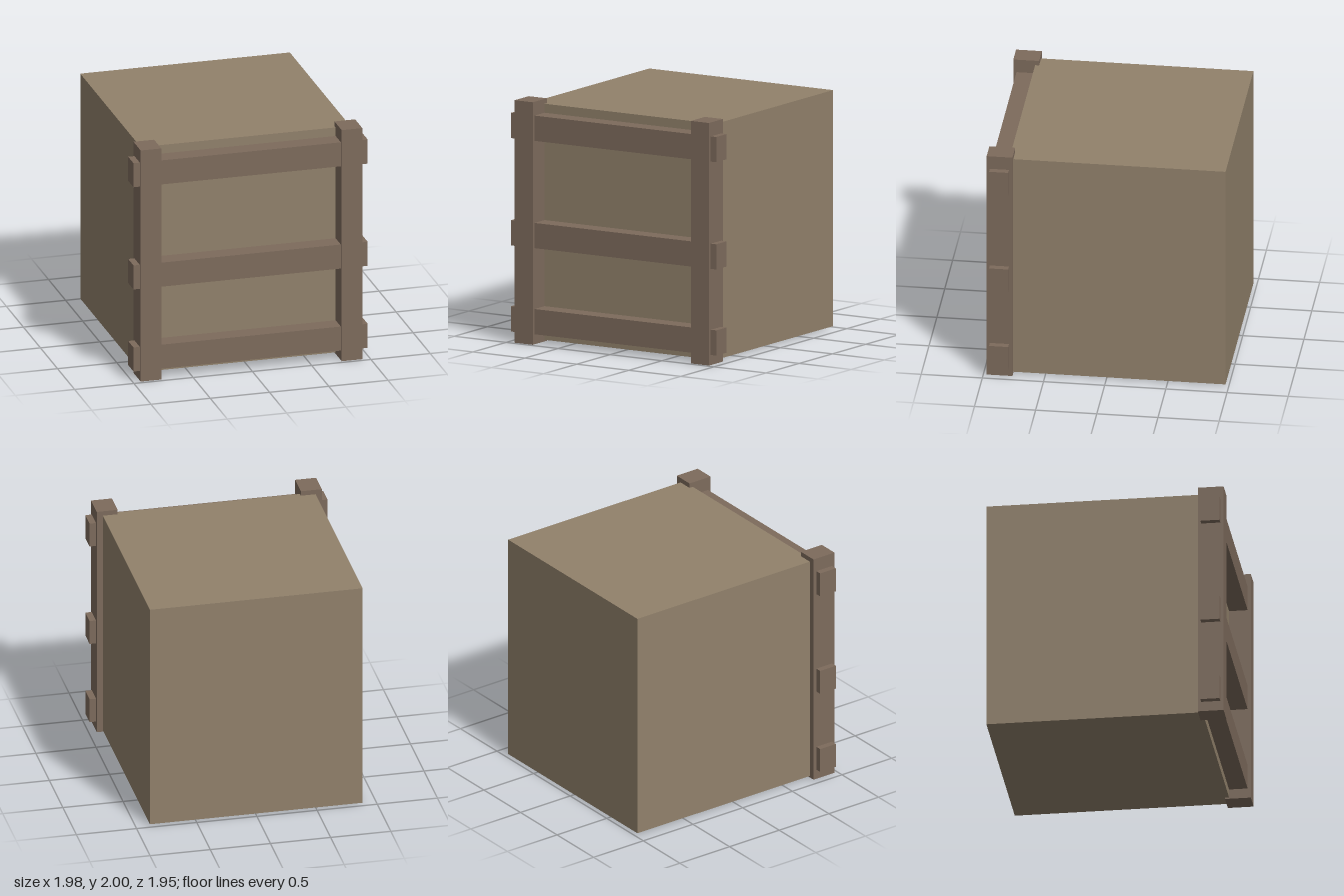
import * as THREE from 'three';

const crateMaterial = new THREE.MeshStandardMaterial({ color: 0x91816b });
const frameMaterial = new THREE.MeshStandardMaterial({ color: 0x7d6b5c });

// Box given by its extents along each axis.
function block(name, material, [x0, x1], [y0, y1], [z0, z1]) {
  const mesh = new THREE.Mesh(new THREE.BoxGeometry(x1 - x0, y1 - y0, z1 - z0), material);
  mesh.position.set((x0 + x1) / 2, (y0 + y1) / 2, (z0 + z1) / 2);
  mesh.name = name;
  return mesh;
}

export function createModel() {
  const model = new THREE.Group();
  model.name = 'crate';

  // Plain crate body
  model.add(block('body', crateMaterial, [-0.884, 0.884], [0.013, 1.96], [-0.973, 0.795]));

  // Front frame: two upright posts crossed by three rails
  const frame = new THREE.Group();
  frame.name = 'frontFrame';
  frame.add(block('leftPost', frameMaterial, [0.761, 0.935], [0, 2], [0.762, 0.973]));
  frame.add(block('rightPost', frameMaterial, [-0.935, -0.761], [0, 2], [0.762, 0.973]));

  const rails = { lowerRail: 0.187, middleRail: 0.897, upperRail: 1.782 };
  for (const [name, y] of Object.entries(rails)) {
    frame.add(block(name, frameMaterial, [-0.988, 0.988], [y - 0.104, y + 0.104], [0.79, 0.947]));
  }
  model.add(frame);
  return model;
}
